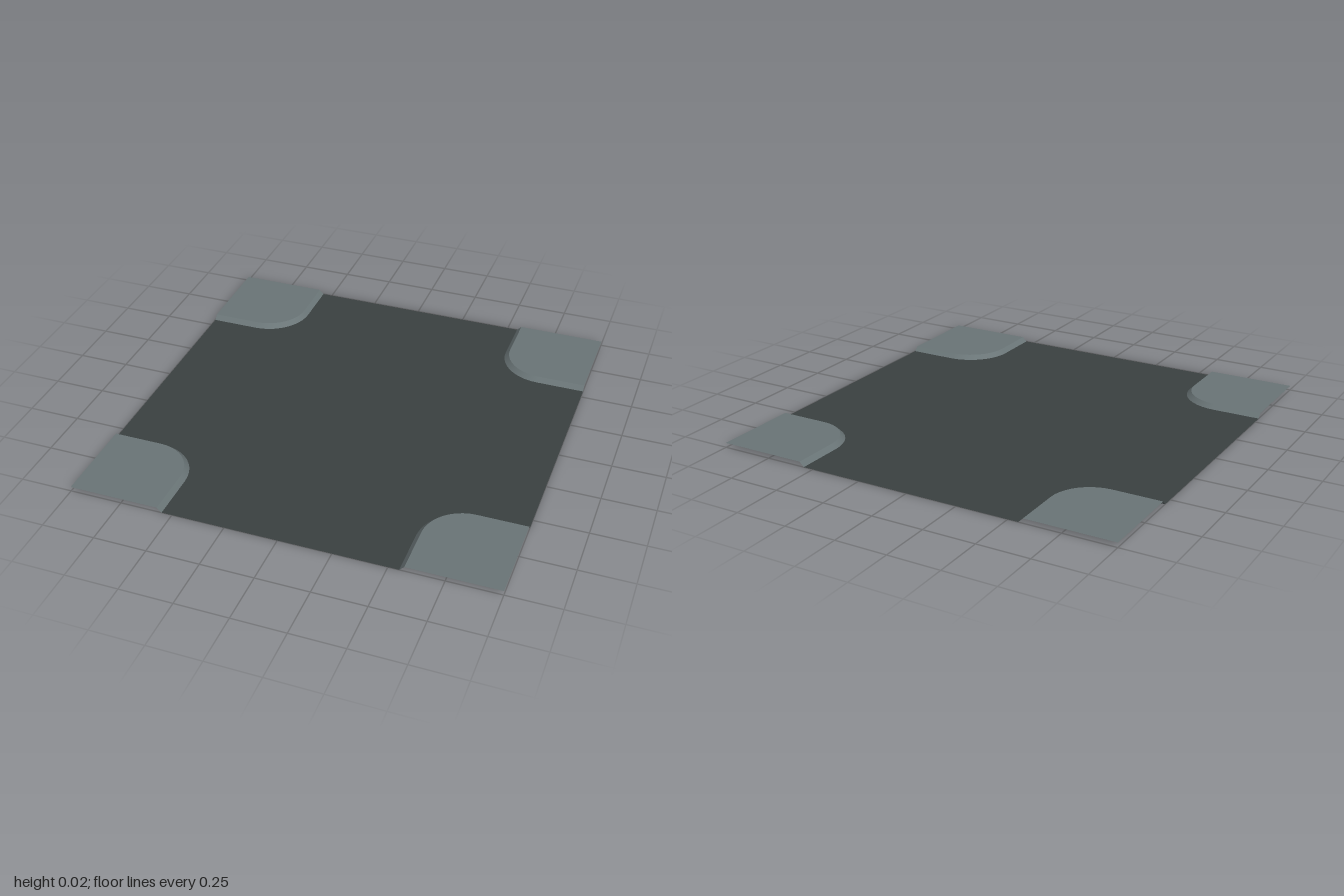
import * as THREE from 'three';

const EDGE = 0.55;      // kerb foot, measured from the tile centre
const BEVEL = 0.022;    // kerb width and height
const CENTRE = 0.765;   // centre of the rounded kerb corner
const STEPS = 10;

// Kerb line of the +x +y quadrant, from the x side of the tile to the y side
function kerbLine(inset) {
  const r = CENTRE - EDGE - inset;
  const pts = [new THREE.Vector2(1, CENTRE - r)];
  for (let i = 0; i <= STEPS; i++) {
    const a = -Math.PI / 2 - (i / STEPS) * Math.PI / 2;
    pts.push(new THREE.Vector2(CENTRE + r * Math.cos(a), CENTRE + r * Math.sin(a)));
  }
  pts.push(new THREE.Vector2(CENTRE - r, 1));
  return pts;
}

// Flat, upward-facing surface from an outline
function flat(points, y) {
  const g = new THREE.ShapeGeometry(new THREE.Shape(points));
  g.rotateX(-Math.PI / 2);
  g.translate(0, y, 0);
  return g;
}

// Sloped strip joining the kerb foot to the pavement edge
function kerbGeometry(foot, top) {
  const pos = [], index = [];
  foot.forEach((p, i) => {
    pos.push(p.x, 0, -p.y, top[i].x, BEVEL, -top[i].y);
    if (i > 0) {
      const a = 2 * i - 2;
      index.push(a, a + 1, a + 2, a + 1, a + 3, a + 2);
    }
  });
  const g = new THREE.BufferGeometry();
  g.setAttribute('position', new THREE.Float32BufferAttribute(pos, 3));
  g.setIndex(index);
  g.computeVertexNormals();
  return g;
}

export function createModel() {
  const asphalt = new THREE.MeshStandardMaterial({ name: 'asphalt', color: 0x3b4141, side: THREE.DoubleSide });
  const concrete = new THREE.MeshStandardMaterial({ name: 'concrete', color: 0x6a7577, side: THREE.DoubleSide });

  const group = new THREE.Group();
  group.name = 'crossroads';
  const add = (parent, name, geometry, material) => {
    const mesh = new THREE.Mesh(geometry, material);
    mesh.name = name;
    parent.add(mesh);
  };

  const foot = kerbLine(0);
  const top = kerbLine(BEVEL);

  // Cross-shaped road, cut out around the four corners
  const outline = [];
  const origin = new THREE.Vector2();
  for (let q = 0; q < 4; q++) {
    for (const p of foot) outline.push(p.clone().rotateAround(origin, q * Math.PI / 2));
  }
  add(group, 'road', flat(outline, 0), asphalt);

  // Raised pavement with a sloped kerb on each corner
  const pavement = flat([...top, new THREE.Vector2(1, 1)], BEVEL);
  const kerb = kerbGeometry(foot, top);
  for (let q = 0; q < 4; q++) {
    const corner = new THREE.Group();
    corner.name = 'corner' + (q + 1);
    corner.rotation.y = q * Math.PI / 2;
    add(corner, 'pavement', pavement, concrete);
    add(corner, 'kerb', kerb, concrete);
    group.add(corner);
  }
  return group;
}
